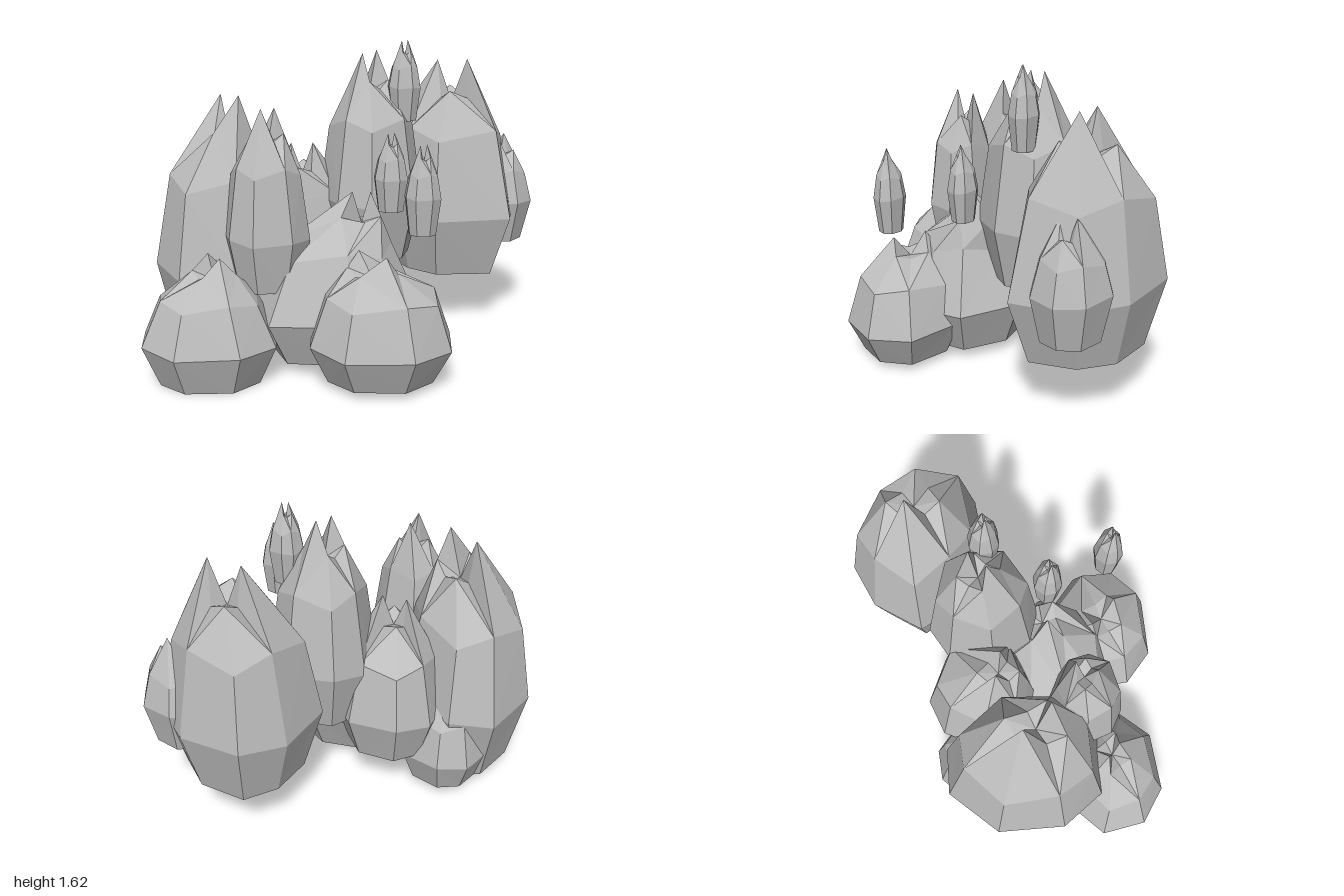
import * as THREE from 'three';

const SIDES = 8;

// Faceted rock: foot ring, wide belt, shoulder ring and a fluted crown with two tips.
// (cx, cz) is the centre, (rx, rz) the belt radii, turn the rotation of its corners;
// tips are [x, z] pairs. belt is the height of the widest ring as a share of the whole,
// taper the width of the shoulder, and reach maps a corner number to its own radius factor.
function rockGeometry(cx, cz, rx, rz, turn, base, top, tipA, tipB, { belt = 0.29, taper = 0.78, reach = {} } = {}) {
  const height = top - base;
  // the crown sits midway between the tips
  const tx = (tipA[0] + tipB[0]) / 2, tz = (tipA[1] + tipB[1]) / 2;

  // corners in order from +x towards the back, slightly uneven
  const plan = Array.from({ length: SIDES }, (_, i) => {
    const a = turn - (i / SIDES) * Math.PI * 2 + 0.07 * Math.sin(i * 2.4);
    const r = reach[i] ?? 1;
    return [Math.cos(a) * rx * r, Math.sin(a) * rz * r];
  });
  const ring = (x0, z0, scale, level) => plan.map(([x, z], i) =>
    [x0 + x * scale(i), base + height * level(i), z0 + z * scale(i)]);
  const alternate = (even, odd) => (i) => (i % 2 ? odd : even);

  const foot = ring(cx, cz, () => 0.75, () => 0);
  const wide = ring(cx, cz, () => 1, (i) => belt + 0.012 * (i % 3 - 1));
  const upper = ring(cx, cz, alternate(taper + 0.02, taper - 0.02), alternate(0.64, 0.69));
  const crown = ring(tx, tz, alternate(taper * 0.46, taper * 0.31), alternate(0.86, 0.82));

  // raise the crown corner that points towards each tip
  [[tipA, top], [tipB, top - height * 0.01]].forEach(([[px, pz], y]) => {
    const facing = plan.map(([x, z]) => (x * (px - tx) + z * (pz - tz)) / Math.hypot(x, z));
    crown[facing.indexOf(Math.max(...facing))] = [px, y, pz];
  });

  const pos = [];
  const tri = (a, b, c) => pos.push(...a, ...b, ...c);
  const rings = [foot, wide, upper, crown];
  for (let i = 0; i < SIDES; i++) {
    const j = (i + 1) % SIDES;
    for (let k = 0; k < 3; k++) {
      const lo = rings[k], hi = rings[k + 1];
      if (i % 2) {
        tri(lo[i], lo[j], hi[j]);
        tri(lo[i], hi[j], hi[i]);
      } else {
        tri(lo[i], lo[j], hi[i]);
        tri(lo[j], hi[j], hi[i]);
      }
    }
    tri([cx, base, cz], foot[j], foot[i]);
    tri(crown[i], crown[j], [tx, base + height * 0.8, tz]);
  }
  const geo = new THREE.BufferGeometry();
  geo.setAttribute('position', new THREE.Float32BufferAttribute(pos, 3));
  geo.computeVertexNormals();
  return geo;
}

export function createModel() {
  const stone = new THREE.MeshStandardMaterial({ color: 0xbcbcbc });
  stone.name = 'stone grey';
  const model = new THREE.Group();
  model.name = 'rockCluster';

  const addRock = (name, ...shape) => {
    const mesh = new THREE.Mesh(rockGeometry(...shape), stone);
    mesh.name = name;
    model.add(mesh);
  };
  const addSpire = (name, x, z, base, top) =>
    addRock(name, x, z, 0.09, 0.08, 0.3, base, top, [x + 0.015, z], [x - 0.015, z + 0.01], { belt: 0.42 });

  // tall rocks
  addRock('tallBackRock', 0.5, -0.465, 0.4, 0.375, 0.03, 0.31, 1.49, [0.62, -0.42], [0.46, -0.48],
    { reach: { 1: 0.92, 3: 0.92, 5: 0.88, 7: 1.25 } });
  addRock('centreTallRock', 0.105, -0.13, 0.28, 0.295, -0.15, 0.46, 1.56, [0.13, -0.18], [0.06, -0.1]);
  addRock('largeRightRock', -0.66, 0.06, 0.365, 0.445, 0.39, 0.06, 1.36, [-0.55, 0.17], [-0.67, 0.03],
    { belt: 0.32 });
  addRock('tallFrontRock', -0.385, 0.38, 0.22, 0.2, 0.1, 0.43, 1.33, [-0.4, 0.4], [-0.35, 0.3]);

  // rocks tucked behind and between them
  addRock('sideRock', 0.8, -0.42, 0.205, 0.2, 0.25, 0.48, 1.07, [0.84, -0.45], [0.8, -0.37], { belt: 0.39 });
  addRock('backRock', -0.25, -0.15, 0.3, 0.3, 0, 0.25, 1.08, [-0.2, -0.05], [-0.32, -0.08]);
  addRock('lowBackRock', -0.55, -0.19, 0.25, 0.24, 0.3, 0.06, 0.65, [-0.5, -0.2], [-0.58, -0.17]);
  addRock('middleRock', -0.04, 0.255, 0.45, 0.385, 0.6, 0.06, 0.88, [0.03, 0.21], [0.12, 0.17],
    { taper: 0.67, reach: { 0: 0.9, 1: 0.93, 2: 0.95, 6: 1.12, 7: 0.93 } });

  // squat front rocks
  addRock('frontRightRock', -0.655, 0.55, 0.355, 0.295, 0.25, 0, 0.63, [-0.66, 0.5], [-0.59, 0.56],
    { belt: 0.32, taper: 0.72 });
  addRock('frontLeftRock', 0.19, 0.545, 0.37, 0.32, 0.35, 0.04, 0.66, [0.22, 0.6], [0.08, 0.47]);

  // slender spires
  addSpire('topSpire', 0.28, -0.105, 1.2, 1.62);
  addSpire('innerSpire', 0.225, 0.22, 0.79, 1.19);
  addSpire('frontSpire', 0.385, 0.555, 0.77, 1.2);
  return model;
}
